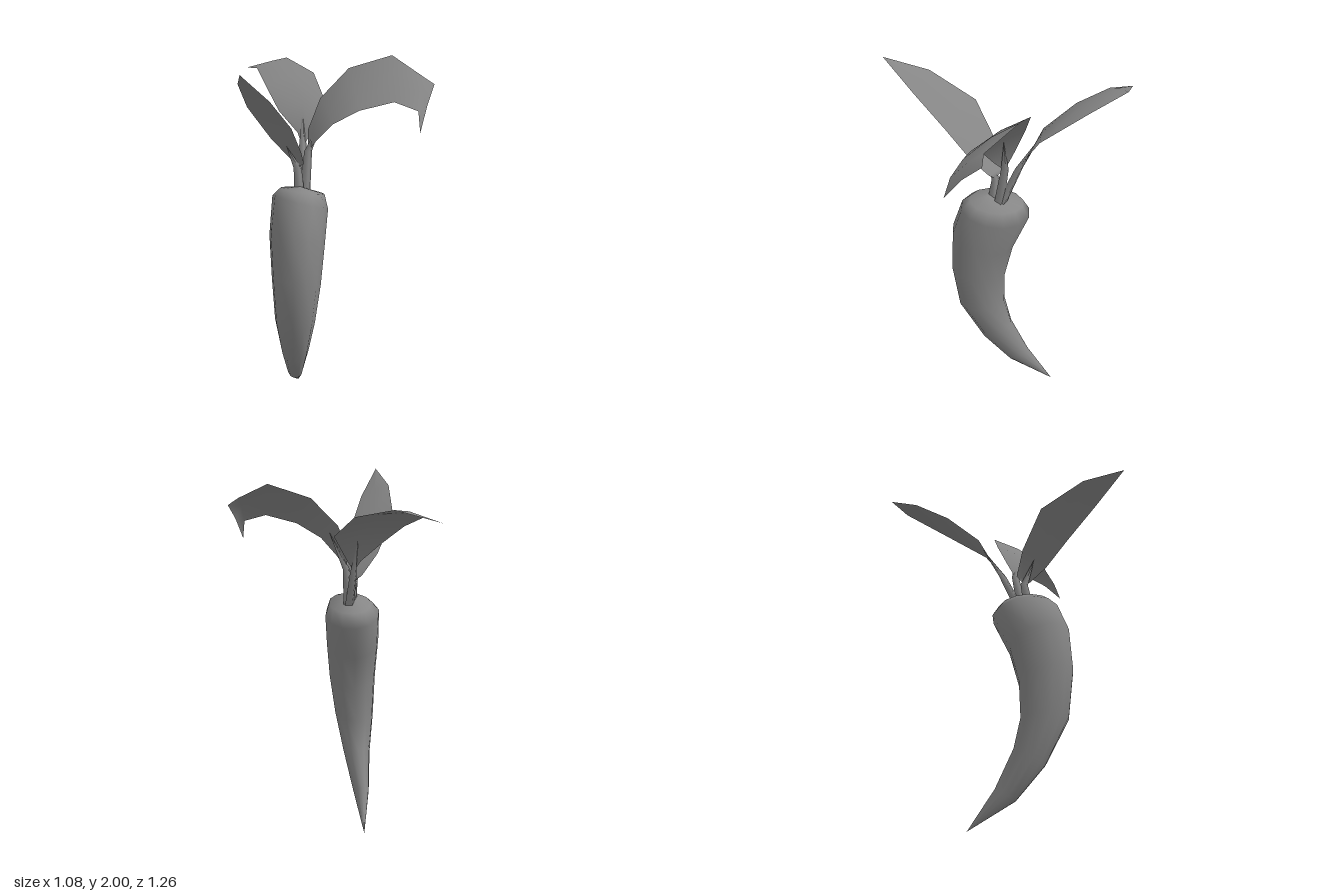
import * as THREE from 'three';

const grey = new THREE.MeshStandardMaterial({ color: 0x868686 });
grey.name = 'grey';
const leafGrey = new THREE.MeshStandardMaterial({ color: 0x868686, side: THREE.DoubleSide });
leafGrey.name = 'leaf grey';

// Skin rows of points into a smooth surface; closed rows wrap around
function skin(name, rows, closed, material) {
  const n = rows[0].length, index = [];
  for (let r = 0; r < rows.length - 1; r++) {
    for (let i = 0; i < (closed ? n : n - 1); i++) {
      const j = (i + 1) % n, a = r * n, b = a + n;
      index.push(a + i, a + j, b + i, a + j, b + j, b + i);
    }
  }
  const geometry = new THREE.BufferGeometry().setFromPoints(rows.flat());
  geometry.setIndex(index);
  geometry.computeVertexNormals();
  const mesh = new THREE.Mesh(geometry, material);
  mesh.name = name;
  return mesh;
}

// Elliptical ring, tilted by the slopes sx and sz
function ring([x, y, z, rx, rz, sx = 0, sz = 0], sides) {
  return Array.from({ length: sides }, (_, i) => {
    const t = (i / sides) * Math.PI * 2;
    const dx = rx * Math.cos(t), dz = rz * Math.sin(t);
    return new THREE.Vector3(x + dx, y + sx * dx + sz * dz, z + dz);
  });
}

// Root rings from crown to tip: centre, radii, slopes
const ROOT = [
  [-0.1, 1.33, 0.2, 0, 0],
  [-0.075, 1.295, 0.165, 0.11, 0.15, -0.2, 0.15],
  [-0.09, 1.235, 0.167, 0.14, 0.193, -0.32, 0.16],
  [-0.132, 1.05, 0.232, 0.143, 0.173, -0.33, 0.28],
  [-0.147, 0.83, 0.26, 0.128, 0.155, -0.2, 0.2],
  [-0.15, 0.59, 0.245, 0.105, 0.135, 0, 0.05],
  [-0.12, 0.38, 0.165, 0.075, 0.086, 0.3, -0.47],
  [-0.077, 0.18, 0.045, 0.043, 0.056, 0.4, -0.5],
  [0.01, 0, -0.135, 0, 0],
];

// Leaves: midrib points with half widths; the blade twists between two directions
const LEAVES = [
  {
    name: 'backLeaf',
    base: [-0.06, 1.27, 0.15],
    twist: [[0.8, 0.05, 0.9], [1, 0.3, -0.35]],
    midrib: [
      [-0.03, 1.5, 0.05, 0], [-0.005, 1.57, 0.01, 0.04], [0.01, 1.69, -0.06, 0.13],
      [0.015, 1.81, -0.28, 0.14], [-0.015, 1.87, -0.495, 0.097], [-0.125, 1.83, -0.63, 0],
    ],
  },
  {
    name: 'rightLeaf',
    base: [-0.1, 1.27, 0.185],
    twist: [[0.3, 0.05, 1], [0.75, -0.5, 0.6]],
    midrib: [
      [-0.1, 1.42, 0.16, 0], [-0.1, 1.455, 0.155, 0.05], [-0.177, 1.555, 0.2, 0.1],
      [-0.295, 1.725, 0.285, 0.137], [-0.425, 1.885, 0.458, 0.09], [-0.54, 2, 0.63, 0],
    ],
  },
  {
    name: 'leftLeaf',
    base: [-0.06, 1.27, 0.16],
    twist: [[0.15, -0.2, 1.05], [-0.5, -0.7, 0.5]],
    midrib: [
      [-0.03, 1.5, 0.13, 0], [-0.01, 1.585, 0.14, 0.06], [0.06, 1.71, 0.16, 0.12],
      [0.188, 1.825, 0.215, 0.17], [0.36, 1.885, 0.313, 0.165],
      [0.445, 1.825, 0.455, 0.11], [0.47, 1.755, 0.485, 0.148],
    ],
  },
];

// Blade folded slightly along its midrib, with a stem tapering out under it
function leaf({ name, base, twist, midrib }) {
  const [start, end] = twist.map((v) => new THREE.Vector3(...v));
  const rows = midrib.map(([x, y, z, width], i) => {
    const side = start.clone().lerp(end, i / (midrib.length - 1)).setLength(width);
    const middle = new THREE.Vector3(x, y, z);
    const rib = middle.clone();
    rib.y += width * 0.12;
    return [middle.clone().sub(side), rib, middle.clone().add(side)];
  });
  const stem = [
    [...midrib[2].slice(0, 3), 0, 0],
    [...midrib[0].slice(0, 3), 0.022, 0.022],
    [...base, 0.03, 0.03],
  ].map((r) => ring(r, 4));

  const part = new THREE.Group();
  part.name = name;
  part.add(skin('blade', rows, false, leafGrey), skin('stem', stem, true, grey));
  return part;
}

export function createModel() {
  const model = new THREE.Group();
  model.name = 'curvedRootVegetable';
  model.add(skin('root', ROOT.map((r) => ring(r, 12)), true, grey));
  model.add(...LEAVES.map(leaf));
  return model;
}
